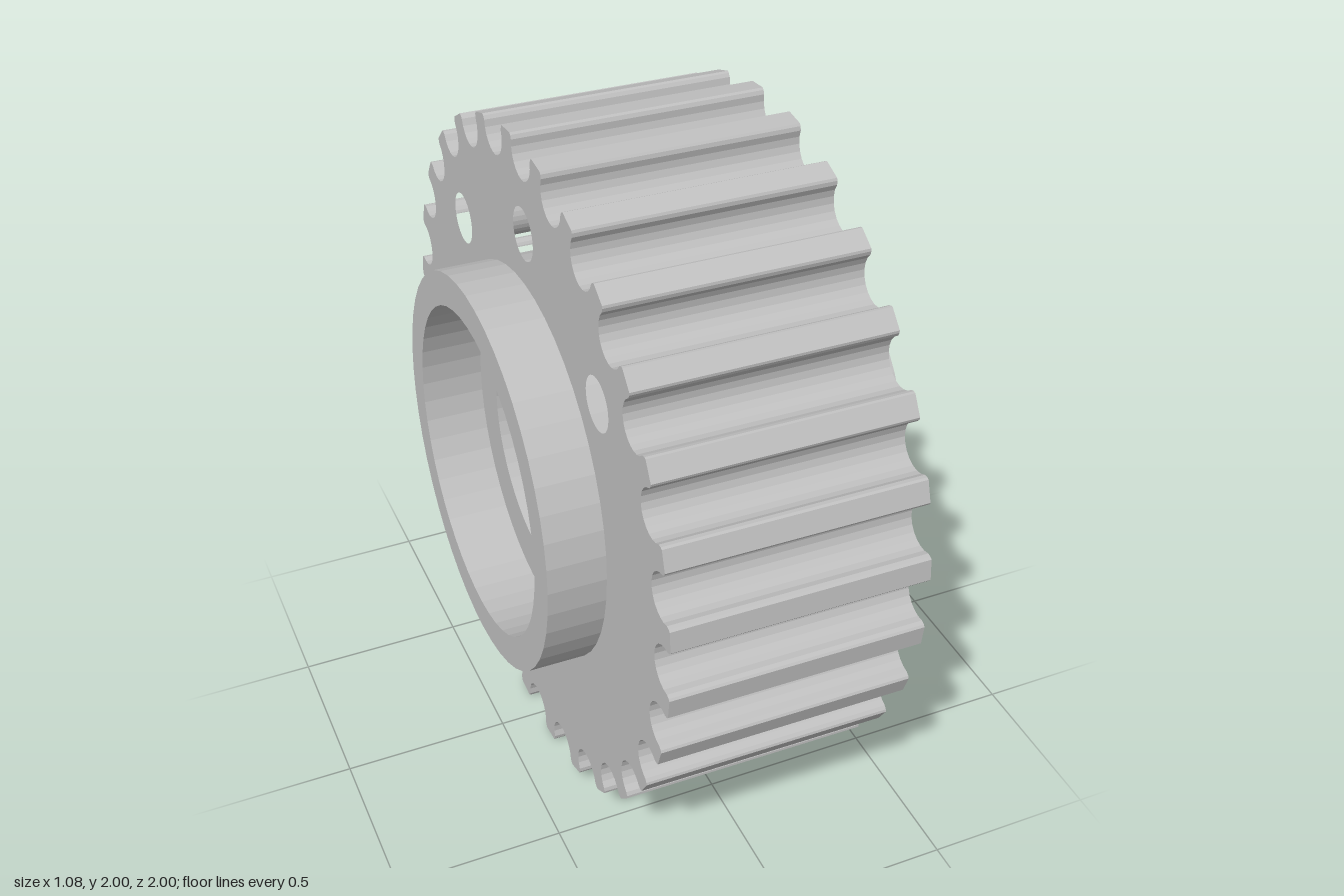
import * as THREE from 'three';

const TEETH = 28;
const HALF_WIDTH = 0.3675; // toothed wheel
const HALF_HUB = 0.535;    // hub, end to end
const SEAT = 0.35;         // floor of the recess in each hub end
const HUB_R = 0.585, RECESS_R = 0.485, BORE_R = 0.34;

// One groove: x across, y outwards from the wheel centre
function groovePoints() {
  const pts = [[-0.081, 0.998], [-0.075, 0.993]];
  for (let i = 0; i <= 12; i++) {
    const a = Math.PI * (1.05 + 0 - 0.1) + (i / 12) * Math.PI * 1.1;
    pts.push([0.071 * Math.cos(a), 0.971 + 0.071 * Math.sin(a)]);
  }
  pts.push([0.075, 0.993], [0.081, 0.998]);
  return pts;
}

function circleHole(x, y, r) {
  const path = new THREE.Path();
  path.absarc(x, y, r, 0, Math.PI * 2, true);
  return path;
}

function wheelGeometry() {
  const outline = [];
  const groove = groovePoints();
  for (let k = 0; k < TEETH; k++) {
    const a = (k / TEETH) * Math.PI * 2;
    for (const [x, y] of groove) {
      outline.push(new THREE.Vector2(
        x * Math.cos(a) + y * Math.sin(a),
        y * Math.cos(a) - x * Math.sin(a)));
    }
  }
  const shape = new THREE.Shape(outline);
  shape.holes.push(circleHole(0, 0, HUB_R - 0.002));
  // Three through holes above the hub
  for (const a of [-Math.PI / 4, 0, Math.PI / 4]) {
    shape.holes.push(circleHole(0.738 * Math.sin(a), 0.738 * Math.cos(a), 0.076));
  }
  const geo = new THREE.ExtrudeGeometry(shape, {
    depth: HALF_WIDTH * 2, bevelEnabled: false, curveSegments: 16,
  });
  geo.translate(0, 0, -HALF_WIDTH);
  geo.rotateY(Math.PI / 2);
  return geo;
}

// Hub ring with a stepped bore, turned about the x axis
function hubGeometry() {
  const profile = [
    [HUB_R, -HALF_HUB], [HUB_R, HALF_HUB],
    [RECESS_R, HALF_HUB], [RECESS_R, SEAT],
    [BORE_R, SEAT], [BORE_R, -SEAT],
    [RECESS_R, -SEAT], [RECESS_R, -HALF_HUB],
    [HUB_R, -HALF_HUB],
  ].map(([r, y]) => new THREE.Vector2(r, y));
  const geo = new THREE.LatheGeometry(profile, 48);
  geo.rotateZ(-Math.PI / 2);
  return geo;
}

export function createModel() {
  const steel = new THREE.MeshStandardMaterial({ color: 0xc0c0c0, flatShading: true });
  steel.name = 'steel grey';

  const wheel = new THREE.Mesh(wheelGeometry(), steel);
  wheel.name = 'toothedWheel';
  const hub = new THREE.Mesh(hubGeometry(), steel);
  hub.name = 'hub';

  // The axle leans very slightly
  const pulley = new THREE.Group();
  pulley.name = 'pulley';
  pulley.add(wheel, hub);
  pulley.rotation.z = -0.011;
  pulley.position.y = 1;

  const model = new THREE.Group();
  model.name = 'timingPulley';
  model.add(pulley);
  return model;
}
